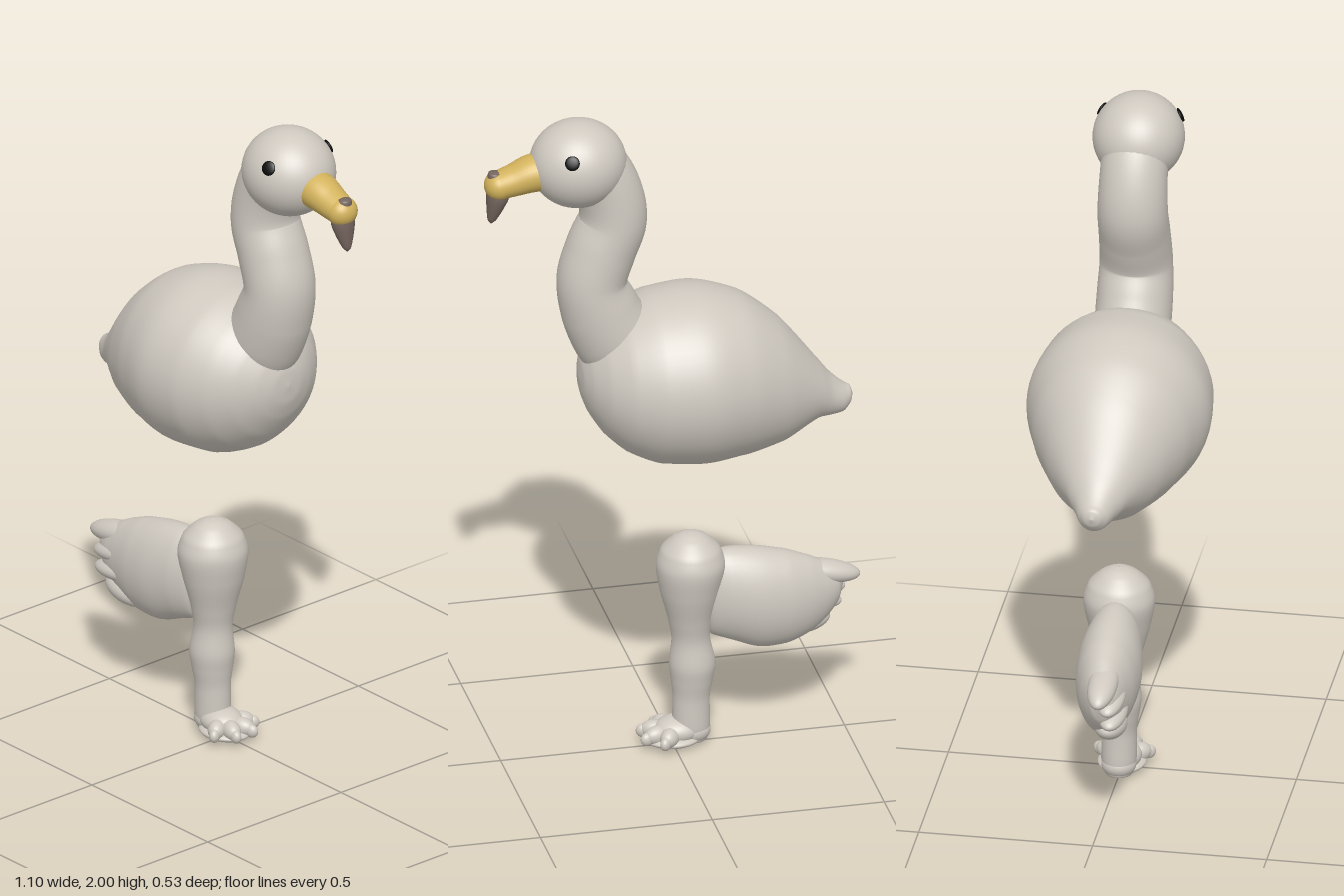
import * as THREE from 'three';

const mat = (name, color) => {
  const m = new THREE.MeshStandardMaterial({ color });
  m.name = name;
  return m;
};

// Smooth skin over elliptical rings [x, y, z, radius in the xy plane, radius along z].
// A fixed axis keeps all rings parallel; otherwise they follow the spine.
function loft(rows, axis = null, rings = 48, sides = 40) {
  const spine = new THREE.CatmullRomCurve3(rows.map(r => new THREE.Vector3(r[0], r[1], r[2])));
  const radii = new THREE.CatmullRomCurve3(rows.map(r => new THREE.Vector3(r[3], r[4], 0)));
  const pos = [], index = [];
  for (let i = 0; i <= rings; i++) {
    const u = i / rings;
    const c = spine.getPoint(u), r = radii.getPoint(u);
    const t = axis || spine.getTangent(u);
    const len = Math.hypot(t.x, t.y);
    for (let j = 0; j < sides; j++) {
      const a = (j / sides) * Math.PI * 2;
      const n = Math.cos(a) * Math.max(r.x, 0.0005) / len;
      pos.push(c.x - t.y * n, c.y + t.x * n, c.z + Math.sin(a) * Math.max(r.y, 0.0005));
      if (i < rings) {
        const k = (j + 1) % sides;
        const p = i * sides + j, q = i * sides + k;
        index.push(p, q, p + sides, q, q + sides, p + sides);
      }
    }
  }
  const g = new THREE.BufferGeometry();
  g.setAttribute('position', new THREE.Float32BufferAttribute(pos, 3));
  g.setIndex(index);
  g.computeVertexNormals();
  return g;
}

export function createModel() {
  const model = new THREE.Group();
  const plumage = mat('pale grey plumage', 0xcfc9c0);
  const yellow = mat('yellow beak', 0xd2b25c);
  const brown = mat('brown beak tip', 0x75655e);
  const black = mat('black eye', 0x0a0a0a);

  const add = (name, geometry, material, parent = model) => {
    const m = new THREE.Mesh(geometry, material);
    m.name = name;
    parent.add(m);
    return m;
  };
  const ball = (name, material, p, s, parent) => {
    const m = add(name, new THREE.SphereGeometry(1, 40, 28), material, parent);
    m.position.set(...p);
    m.scale.set(...s);
    return m;
  };
  const X = new THREE.Vector3(1, 0, 0), BACK = new THREE.Vector3(-1, 0, 0);
  const UP = new THREE.Vector3(0, 1, 0);

  // Egg-shaped body narrowing to a knobbed tail
  add('body', loft([
    [-0.523, 1.05, 0, 0.001, 0.001],
    [-0.515, 1.05, 0, 0.025, 0.025],
    [-0.495, 1.045, 0, 0.043, 0.042],
    [-0.455, 1.06, 0, 0.065, 0.063],
    [-0.415, 1.085, 0, 0.092, 0.092],
    [-0.31, 1.125, 0, 0.185, 0.167],
    [-0.2, 1.156, 0, 0.24, 0.225],
    [-0.06, 1.17, 0, 0.264, 0.264],
    [0.06, 1.172, 0, 0.252, 0.252],
    [0.15, 1.175, 0, 0.212, 0.212],
    [0.21, 1.18, 0, 0.16, 0.16],
    [0.25, 1.185, 0, 0.1, 0.1],
    [0.268, 1.188, 0, 0.05, 0.05],
    [0.273, 1.19, 0, 0.001, 0.001],
  ], X, 78, 56), plumage);

  // S-curved neck
  add('neck', loft([
    [0.12, 1.22, 0, 0.1, 0.08],
    [0.175, 1.32, 0, 0.118, 0.108],
    [0.212, 1.4, 0, 0.112, 0.108],
    [0.235, 1.49, 0, 0.1, 0.104],
    [0.208, 1.59, 0, 0.101, 0.102],
    [0.174, 1.68, 0, 0.097, 0.1],
    [0.185, 1.77, 0, 0.094, 0.097],
    [0.225, 1.85, 0, 0.092, 0.094],
    [0.27, 1.89, 0, 0.06, 0.06],
  ], null, 64), plumage);

  // Head and eyes
  ball('head', plumage, [0.275, 1.868, 0], [0.139, 0.129, 0.131]);
  for (const s of [1, -1]) {
    const eye = ball(s > 0 ? 'rightEye' : 'leftEye', black, [0.317, 1.924, s * 0.113], [0.021, 0.021, 0.006]);
    eye.lookAt(0.317 + 0.28, 1.924 + 0.4, s * (0.113 + 0.83));
  }

  // Hooked beak with a darker tip running through its end
  const beak = new THREE.Group();
  beak.name = 'beak';
  model.add(beak);
  add('beakBase', loft([
    [0.36, 1.855, 0, 0.056, 0.06],
    [0.41, 1.849, 0, 0.054, 0.058],
    [0.46, 1.834, 0, 0.046, 0.051],
    [0.505, 1.822, 0, 0.041, 0.045],
  ], null, 20, 32), yellow, beak);
  ball('beakBend', yellow, [0.505, 1.822, 0], [0.042, 0.043, 0.046], beak);
  add('beakTip', loft([
    [0.527, 1.704, 0, 0.001, 0.001],
    [0.525, 1.715, 0, 0.012, 0.012],
    [0.516, 1.75, 0, 0.024, 0.026],
    [0.508, 1.79, 0, 0.033, 0.035],
    [0.511, 1.83, 0, 0.028, 0.028],
    [0.517, 1.863, 0, 0.018, 0.018],
    [0.518, 1.867, 0, 0.001, 0.001],
  ], UP, 30, 28), brown, beak);

  // Separate leg: rounded thigh, knee and shank
  add('leg', loft([
    [-0.054, 0.01, 0, 0.001, 0.001],
    [-0.054, 0.011, 0, 0.045, 0.04],
    [-0.054, 0.06, 0, 0.054, 0.05],
    [-0.054, 0.14, 0, 0.053, 0.05],
    [-0.056, 0.2, 0, 0.06, 0.058],
    [-0.057, 0.25, 0, 0.066, 0.064],
    [-0.053, 0.33, 0, 0.055, 0.056],
    [-0.05, 0.4, 0, 0.064, 0.068],
    [-0.05, 0.48, 0, 0.085, 0.089],
    [-0.053, 0.56, 0, 0.099, 0.102],
    [-0.053, 0.61, 0, 0.085, 0.088],
    [-0.053, 0.645, 0, 0.05, 0.052],
    [-0.053, 0.658, 0, 0.025, 0.025],
    [-0.053, 0.662, 0, 0.001, 0.001],
  ], UP, 78), plumage);

  // Foot with spread toes, each ending in a small claw
  const foot = new THREE.Group();
  foot.name = 'foot';
  model.add(foot);
  ball('heel', plumage, [-0.058, 0.04, 0], [0.052, 0.04, 0.05], foot);
  ball('instep', plumage, [-0.015, 0.045, 0], [0.07, 0.04, 0.058], foot);
  for (const [angle, reach] of [[-0.95, 0.095], [-0.3, 0.108], [0.3, 0.108], [0.95, 0.095]]) {
    const toe = new THREE.Group();
    toe.name = 'toe';
    toe.position.set(-0.015, 0, 0);
    toe.rotation.y = angle;
    foot.add(toe);
    ball('toePad', plumage, [reach * 0.6, 0.04, 0], [reach * 0.38, 0.028, 0.026], toe);
    ball('claw', plumage, [reach * 0.92, 0.034, 0], [0.02, 0.02, 0.015], toe);
  }
  ball('sole', plumage, [0, 0.02, 0], [0.082, 0.02, 0.07], foot);

  // Wing behind the leg, with lobed feather tips
  const wing = new THREE.Group();
  wing.name = 'wing';
  model.add(wing);
  add('wingBody', loft([
    [-0.075, 0.46, 0.005, 0.001, 0.001],
    [-0.085, 0.46, 0.005, 0.07, 0.035],
    [-0.11, 0.46, 0.005, 0.125, 0.06],
    [-0.16, 0.456, 0.005, 0.142, 0.08],
    [-0.25, 0.435, 0.006, 0.154, 0.092],
    [-0.33, 0.426, 0.008, 0.144, 0.086],
    [-0.4, 0.425, 0.012, 0.117, 0.068],
    [-0.45, 0.43, 0.018, 0.085, 0.05],
    [-0.485, 0.44, 0.02, 0.05, 0.03],
    [-0.5, 0.44, 0.02, 0.001, 0.001],
  ], BACK, 60), plumage, wing);
  const feathers = [
    // x, y, z, half length, half height, half depth, tilt
    [-0.44, 0.488, 0.02, 0.112, 0.034, 0.042, 0.2],
    [-0.42, 0.438, 0.04, 0.092, 0.028, 0.04, 0.17],
    [-0.41, 0.385, 0.044, 0.092, 0.028, 0.04, 0.1],
    [-0.38, 0.332, 0.032, 0.085, 0.038, 0.046, -0.12],
  ];
  for (const [x, y, z, l, h, d, tilt] of feathers) {
    ball('feather', plumage, [x, y, z], [l, h, d], wing).rotation.z = tilt;
  }

  return model;
}
